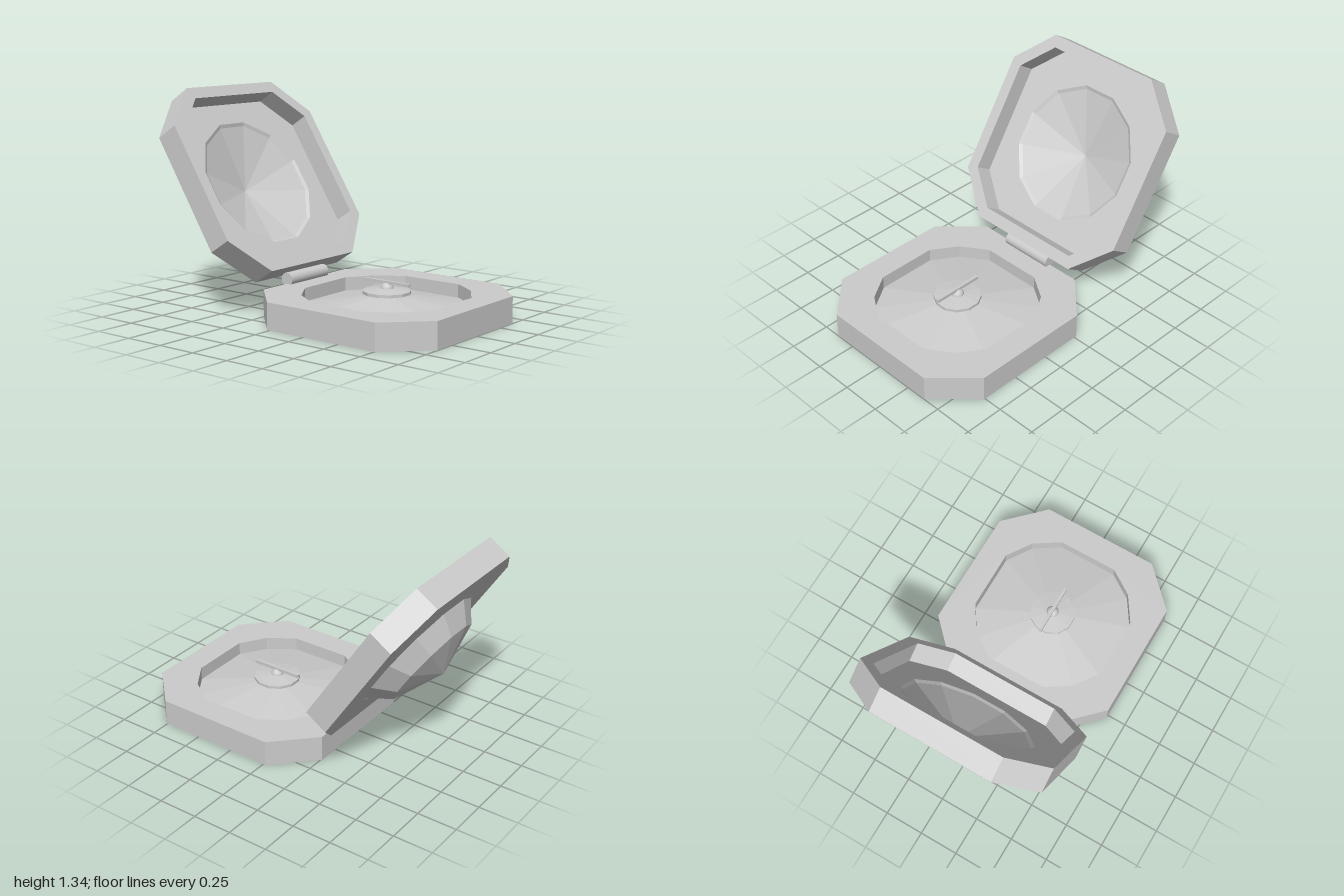
import * as THREE from 'three';

const grey = new THREE.MeshStandardMaterial({ color: 0xcccccc, flatShading: true, side: THREE.DoubleSide });
const smooth = new THREE.MeshStandardMaterial({ color: 0xcccccc });

function add(parent, name, geometry, material = grey) {
  const mesh = new THREE.Mesh(geometry, material);
  mesh.name = name;
  parent.add(mesh);
  return mesh;
}

// Repeats one quadrant of points (counter-clockwise) around the centre
function fourfold(quadrant) {
  const points = [];
  for (let i = 0; i < 4; i++) {
    for (const [x, y] of quadrant) {
      points.push(new THREE.Vector2(x, y).rotateAround(new THREE.Vector2(), i * Math.PI / 2));
    }
  }
  return points;
}

const octagon = (half, corner) => fourfold([[half, corner], [corner, half]]);

function ringPoints(radius, count) {
  return Array.from({ length: count }, (_, i) => {
    const a = (i + 0.5) / count * Math.PI * 2;
    return new THREE.Vector2(radius * Math.cos(a), radius * Math.sin(a));
  });
}

// Upright slab from y0 to y1, optionally with a hole
function slab(outline, hole, y0, y1) {
  const shape = new THREE.Shape(outline);
  if (hole) shape.holes.push(new THREE.Path(hole));
  return new THREE.ExtrudeGeometry(shape, { depth: y1 - y0, bevelEnabled: false })
    .rotateX(-Math.PI / 2).translate(0, y0, 0);
}

// Fan of triangles from a polygon edge up to a central apex
function fan(points, edgeY, apexY) {
  const pos = [];
  points.forEach((p, i) => {
    const q = points[(i + 1) % points.length];
    pos.push(p.x, edgeY, -p.y, q.x, edgeY, -q.y, 0, apexY, 0);
  });
  const g = new THREE.BufferGeometry();
  g.setAttribute('position', new THREE.Float32BufferAttribute(pos, 3));
  g.computeVertexNormals();
  return g;
}

// Twelve-sided turned surface with flats on the axes
function turned(profile) {
  return new THREE.LatheGeometry(profile.map(p => new THREE.Vector2(...p)), 12, Math.PI / 12);
}

export function createModel() {
  const model = new THREE.Group();
  model.name = 'openCompass';
  const outer = octagon(0.627, 0.387);

  // Base case with a twelve-sided recess and a conical dial
  const base = new THREE.Group();
  base.name = 'base';
  base.position.x = 0.37;
  model.add(base);
  const recess = fourfold([[0.463, 0.197], [0.355, 0.36], [0.195, 0.465]]);
  add(base, 'baseBottom', slab(outer, null, 0, 0.075));
  add(base, 'baseRim', slab(outer, recess, 0.075, 0.163));
  add(base, 'dialFloor', fan(recess, 0.08, 0.165));

  // Pivot disc, knob and needle
  add(base, 'pivotDisc', turned([[0, 0.16], [0.145, 0.162], [0.145, 0.18], [0.11, 0.184], [0.04, 0.193], [0, 0.193]]));
  add(base, 'pivotKnob', new THREE.SphereGeometry(0.04, 16, 10), smooth).position.y = 0.187;
  add(base, 'needle', new THREE.BoxGeometry(0.33, 0.02, 0.02)).position.y = 0.227;

  // Hinge barrel
  const hinge = add(model, 'hinge', new THREE.CylinderGeometry(0.042, 0.042, 0.35, 16).rotateX(Math.PI / 2), smooth);
  hinge.position.set(-0.256, 0.19, 0);

  // Lid, built with its inner face at y = 0 and its outside upward, then swung open
  const lid = new THREE.Group();
  lid.name = 'lid';
  lid.position.set(-0.53, 0.81, 0);
  lid.rotation.z = 2.145;
  model.add(lid);
  add(lid, 'lidRim', slab(outer, octagon(0.553, 0.355), 0, 0.125));
  add(lid, 'lidPlate', slab(outer, ringPoints(0.43, 12), 0.125, 0.157));
  add(lid, 'lidBowl', turned([[0.43, 0.125], [0.41, 0.138], [0, 0.265]]));
  add(lid, 'lidDome', turned([[0.43, 0.155], [0.415, 0.157], [0.31, 0.27], [0, 0.363]]));

  return model;
}
